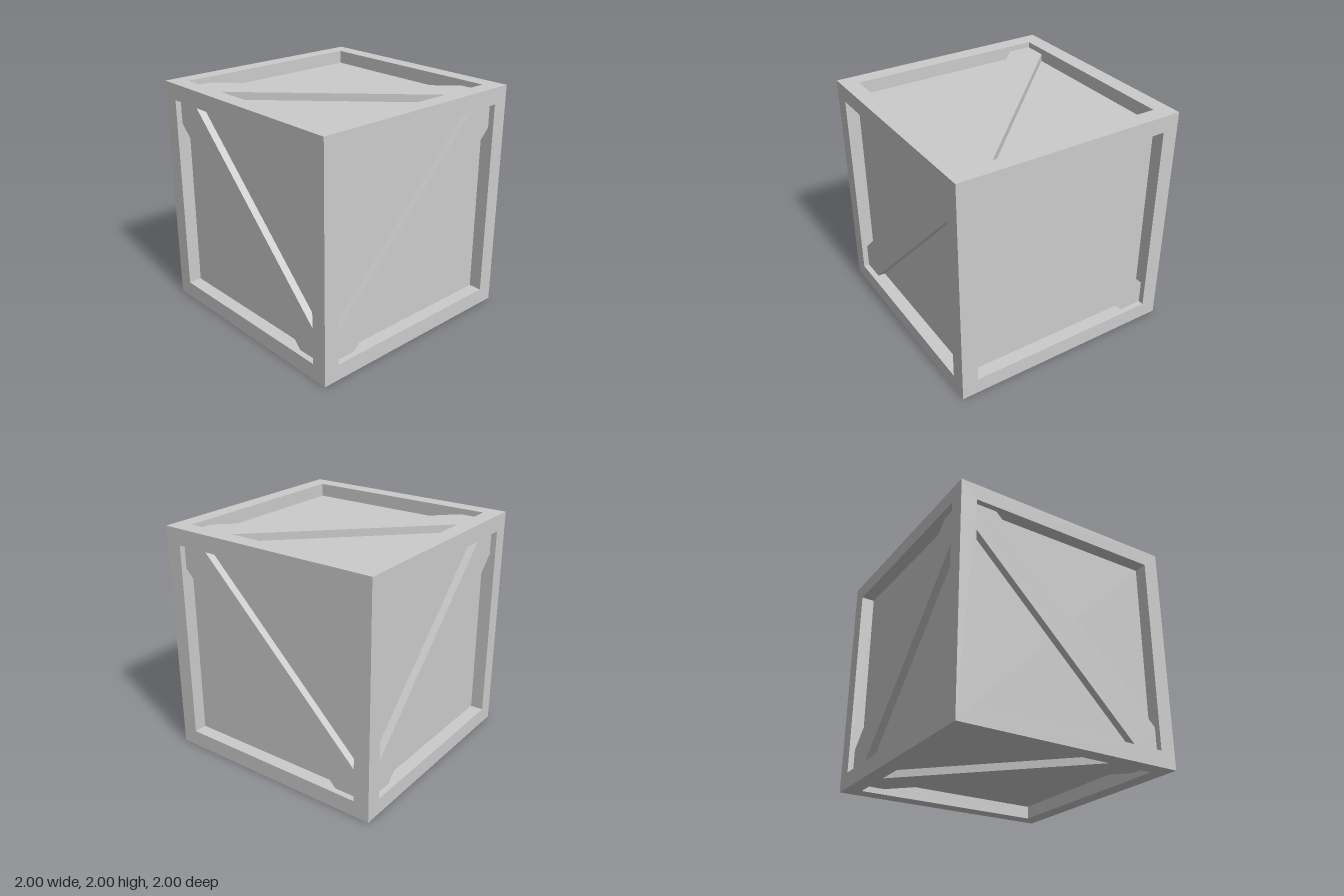
import * as THREE from 'three';

const OUTER = 1;       // half size of the crate
const INNER = 0.86;    // half size of each frame opening
const PANEL = 0.885;   // distance of the recessed panels from the centre
const BRACE = 0.95;    // distance of the brace faces from the centre
const CUT = 0.65;      // where the brace edges meet the frame opening

const material = new THREE.MeshStandardMaterial({ color: 0xcccccc, flatShading: true });

const polygon = (points) => new THREE.Shape(points.map(([x, y]) => new THREE.Vector2(x, y)));
const square = (h) => polygon([[-h, -h], [h, -h], [h, h], [-h, h]]);

function extrude(shape, from, to) {
  return new THREE.ExtrudeGeometry(shape, { depth: to - from, bevelEnabled: false }).translate(0, 0, from);
}

// Square frame whose outer back edge is mitred so six of them close into a cube
function frameGeometry() {
  const shape = square(OUTER);
  shape.holes.push(square(INNER));
  const geometry = extrude(shape, PANEL, OUTER);
  const p = geometry.attributes.position;
  for (let i = 0; i < p.count; i++) {
    if (Math.abs(p.getX(i)) > 0.95 && p.getZ(i) < 0.95) {
      p.setXY(i, p.getX(i) * PANEL, p.getY(i) * PANEL);
    }
  }
  geometry.computeVertexNormals();
  return geometry;
}

// Diagonal board, cut to fit the two corners of the opening
function braceGeometry() {
  return extrude(polygon([
    [-INNER, INNER], [-INNER, CUT], [CUT, -INNER],
    [INNER, -INNER], [INNER, -CUT], [-CUT, INNER],
  ]), PANEL, BRACE);
}

export function createModel() {
  const crate = new THREE.Group();
  crate.name = 'crate';
  const frame = frameGeometry();
  const brace = braceGeometry();

  const add = (parent, name, geometry) => {
    const mesh = new THREE.Mesh(geometry, material);
    mesh.name = name;
    parent.add(mesh);
    return mesh;
  };

  // Recessed panels on all sides
  add(crate, 'panels', new THREE.BoxGeometry(2 * PANEL, 2 * PANEL, 2 * PANEL));

  // One frame and brace per side: name, x turn, y turn, brace on the other diagonal
  const q = Math.PI / 2;
  const sides = [
    ['front', 0, 0, false],
    ['back', 0, 2 * q, false],
    ['left', 0, q, true],
    ['right', 0, -q, true],
    ['top', -q, 0, true],
    ['bottom', q, 0, true],
  ];
  for (const [name, rx, ry, flipped] of sides) {
    const side = new THREE.Group();
    side.name = name + 'Side';
    add(side, name + 'Frame', frame);
    add(side, name + 'Brace', brace).rotation.z = flipped ? q : 0;
    side.rotation.set(rx, ry, 0);
    crate.add(side);
  }

  crate.position.y = OUTER;
  const model = new THREE.Group();
  model.name = 'model';
  model.add(crate);
  return model;
}
